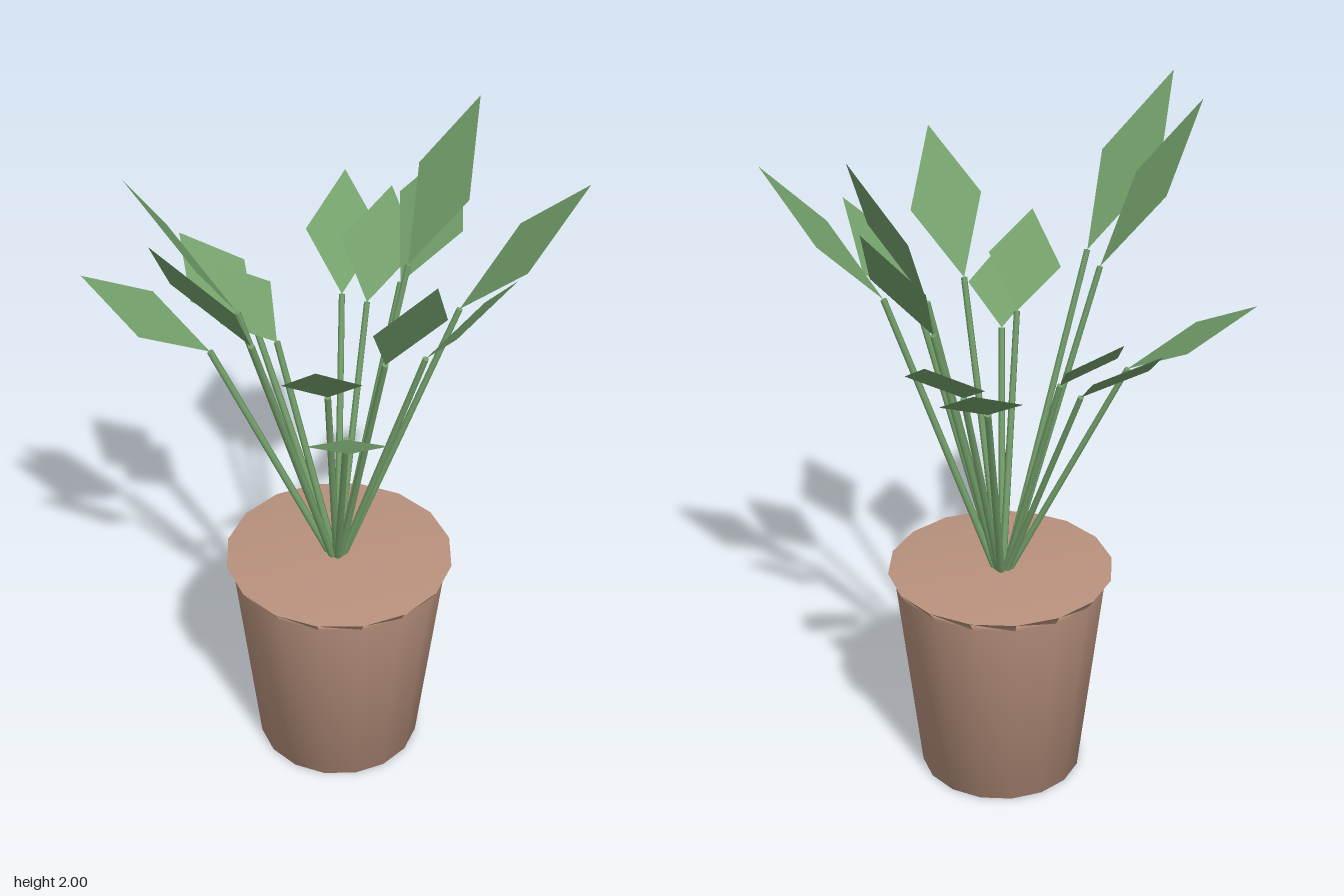
import * as THREE from 'three';

const potBrown = new THREE.MeshStandardMaterial({ color: 0xb8917d });
potBrown.name = 'clay brown';
const leafGreen = new THREE.MeshStandardMaterial({ color: 0x739f6a, side: THREE.DoubleSide });
leafGreen.name = 'leaf green';

// Each leaf is a flat diamond: base, tip and one side corner
const LEAVES = [
  [[-0.02, 1.315, -0.29], [-0.07, 1.53, -0.61], [0.06, 1.415, -0.47]],
  [[0.06, 1.33, -0.24], [0.08, 1.545, -0.52], [0.18, 1.44, -0.37]],
  [[0.165, 1.46, -0.155], [0.295, 1.81, -0.35], [0.135, 1.65, -0.315]],
  [[0.19, 1.54, -0.125], [0.345, 1.975, -0.29], [0.19, 1.765, -0.28]],
  [[0.345, 1.485, -0.02], [0.66, 1.86, -0.083], [0.48, 1.68, -0.16]],
  [[0.275, 1.395, 0.095], [0.51, 1.70, 0.15], [0.415, 1.54, 0.02]],
  [[0.19, 1.46, 0.235], [0.343, 1.83, 0.42], [0.35, 1.635, 0.26]],
  [[0.105, 1.275, 0.325], [0.16, 1.44, 0.598], [0.235, 1.355, 0.438]],
  [[0.045, 1.36, 0.265], [0.055, 1.585, 0.48], [0.155, 1.485, 0.37]],
  [[-0.14, 1.54, 0.33], [-0.315, 1.985, 0.608], [-0.135, 1.765, 0.523]],
  [[-0.205, 1.55, 0.20], [-0.445, 2.0, 0.347], [-0.385, 1.78, 0.18]],
  [[-0.317, 1.32, 0.062], [-0.657, 1.535, 0.083], [-0.495, 1.43, -0.035]],
  [[-0.225, 1.30, -0.10], [-0.465, 1.505, -0.225], [-0.29, 1.42, -0.255]],
  [[-0.155, 1.30, -0.045], [-0.345, 1.48, -0.13], [-0.20, 1.405, -0.18]],
];

// Closed tapered pot with a flared lip and a softly shaded flat top and base
function makePot() {
  const profile = [[0, 0], [0.235, 0], [0.305, 0.625], [0.325, 0.655], [0, 0.655]];
  const points = profile.map(([r, y]) => new THREE.Vector2(r, y));
  const mesh = new THREE.Mesh(new THREE.LatheGeometry(points, 16), potBrown);
  mesh.name = 'pot';
  mesh.position.set(0.035, 0, 0.043);
  return mesh;
}

function makeLeaf(base, tip, side) {
  const opposite = base.clone().add(tip).sub(side);
  const geometry = new THREE.BufferGeometry().setFromPoints([base, side, tip, base, tip, opposite]);
  geometry.computeVertexNormals();
  const mesh = new THREE.Mesh(geometry, leafGreen);
  mesh.name = 'leaf';
  return mesh;
}

function makeStem(from, to) {
  const direction = to.clone().sub(from);
  const geometry = new THREE.CylinderGeometry(0.009, 0.011, direction.length(), 6);
  const mesh = new THREE.Mesh(geometry, leafGreen);
  mesh.name = 'stem';
  mesh.position.copy(from).addScaledVector(direction, 0.5);
  mesh.quaternion.setFromUnitVectors(new THREE.Vector3(0, 1, 0), direction.normalize());
  return mesh;
}

export function createModel() {
  const model = new THREE.Group();
  model.name = 'pottedPlant';
  model.add(makePot());

  // Stems fan out from the middle, each carrying one leaf
  for (const corners of LEAVES) {
    const [base, tip, side] = corners.map((p) => new THREE.Vector3(...p));
    const root = new THREE.Vector3(0.03, 0.64, 0.04);
    root.x += (base.x - root.x) * 0.05;
    root.z += (base.z - root.z) * 0.05;
    const shoot = new THREE.Group();
    shoot.name = 'shoot';
    shoot.add(makeStem(root, base), makeLeaf(base, tip, side));
    model.add(shoot);
  }
  return model;
}
